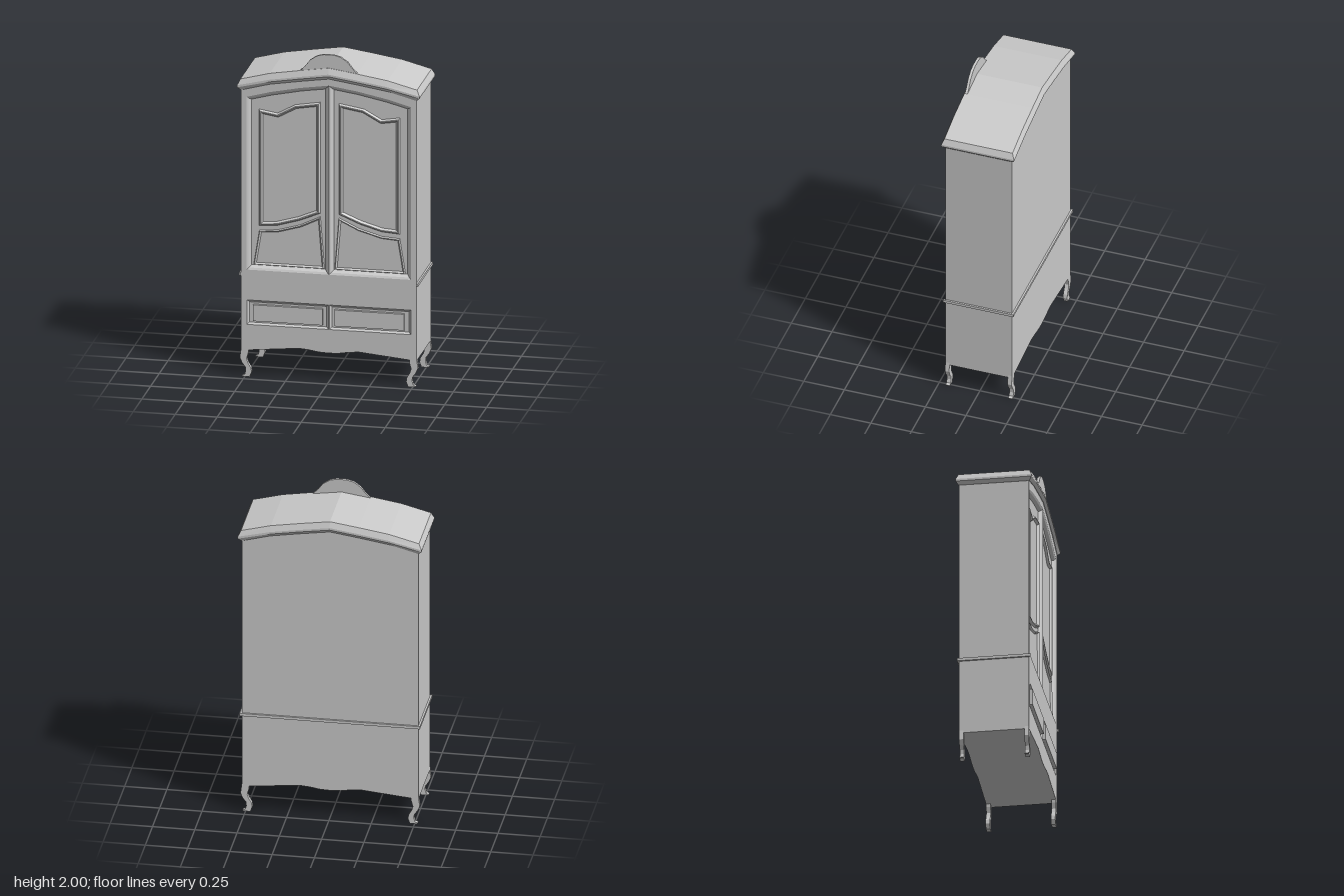
import * as THREE from 'three';

const FRONT = 0.206, FLOOR = 0.182, BACK = -0.206;

// Rise of the arched top from the sides to the middle
const STATIONS = [0, 0.17, 0.35, 0.545], RISE = [0.1, 0.075, 0.046, 0];
function arch(x) {
  const a = Math.min(Math.abs(x), 0.5449);
  const i = STATIONS.findIndex((s) => s > a) - 1;
  return THREE.MathUtils.mapLinear(a, STATIONS[i], STATIONS[i + 1], RISE[i], RISE[i + 1]);
}

const material = () => new THREE.MeshStandardMaterial({ color: 0xcccccc, flatShading: true, side: THREE.DoubleSide });
const vecs = (pts) => pts.map(([x, y]) => new THREE.Vector2(x, y));
const flip = (pts) => pts.map(([x, y]) => [-x, y]).reverse();
const rect = (x0, y0, x1, y1) => [[x0, y0], [x1, y0], [x1, y1], [x0, y1]];
// Completes a half outline given from the -x side to the middle
const mirrored = (half) => [...half, ...flip(half).filter(([x]) => x !== 0)];

export function createModel() {
  const group = new THREE.Group();

  const add = (name, geometry) => {
    const mesh = new THREE.Mesh(geometry, material());
    mesh.name = name;
    group.add(mesh);
    return mesh;
  };

  const slab = (name, pts, z0, z1, holes = []) => {
    const shape = new THREE.Shape(vecs(pts));
    shape.holes = holes.map((h) => new THREE.Path(vecs(h)));
    const g = new THREE.ExtrudeGeometry(shape, { depth: z1 - z0, bevelEnabled: false });
    return add(name, g.translate(0, 0, z0));
  };

  const box = (name, x0, x1, y0, y1, z0, z1) =>
    add(name, new THREE.BoxGeometry(x1 - x0, y1 - y0, z1 - z0)
      .translate((x0 + x1) / 2, (y0 + y1) / 2, (z0 + z1) / 2));

  // Mitred strip along a counter-clockwise outline; profile holds [inset, z]
  const moulding = (name, pts, profile) => {
    const p = vecs(pts), n = p.length;
    const normals = p.map((a, i) => {
      const d = p[(i + 1) % n].clone().sub(a).normalize();
      return new THREE.Vector2(-d.y, d.x);
    });
    const at = (i, k) => {
      const a = normals[(i + n - 1) % n], b = normals[i % n];
      const m = a.clone().add(b).multiplyScalar(profile[k][0] / (1 + a.dot(b)));
      return [p[i % n].x + m.x, p[i % n].y + m.y, profile[k][1]];
    };
    const pos = [];
    for (let i = 0; i < n; i++) {
      for (let k = 0; k < profile.length - 1; k++) {
        const a = at(i, k), b = at(i + 1, k), c = at(i + 1, k + 1), d = at(i, k + 1);
        pos.push(...a, ...b, ...c, ...a, ...c, ...d);
      }
    }
    const g = new THREE.BufferGeometry();
    g.setAttribute('position', new THREE.Float32BufferAttribute(pos, 3));
    g.computeVertexNormals();
    return add(name, g);
  };

  // Carcass with scalloped underside and arched top
  const outline = mirrored([
    [-0.522, 0.16], [-0.46, 0.166], [-0.18, 0.193], [-0.12, 0.188], [-0.06, 0.178], [0, 0.175],
  ]).concat([0.522, 0.35, 0.17, 0, -0.17, -0.35, -0.522].map((x) => [x, 1.77 + arch(x)]));
  const door = [[-0.49, 0.655], [0, 0.655], [0, 1.812], [-0.17, 1.787], [-0.35, 1.75], [-0.49, 1.712]];
  const bothDoors = [[-0.49, 0.655], [0.49, 0.655], ...flip(door.slice(2)).slice(0, 3), ...door.slice(2)];
  const drawer = rect(-0.488, 0.32, -0.003, 0.47);
  slab('carcass', outline, BACK, FLOOR);
  slab('frontFrame', outline, FLOOR, FRONT, [bothDoors, drawer, flip(drawer)]);

  // Door panels
  const upperPanel = [
    [-0.42, 0.922], [-0.31, 0.93], [-0.18, 0.968], [-0.055, 1.02],
    [-0.055, 1.7], [-0.205, 1.675], [-0.31, 1.617], [-0.42, 1.635],
  ];
  const lowerPanel = [
    [-0.452, 0.682], [-0.03, 0.682], [-0.055, 1.0], [-0.175, 0.942], [-0.31, 0.903], [-0.418, 0.895],
  ];
  const bead = [[0, FLOOR], [0.008, FLOOR + 0.014], [0.014, FLOOR + 0.014], [0.024, FLOOR]];
  const narrowBead = [[0, FLOOR], [0.005, FLOOR + 0.012], [0.014, FLOOR]];

  for (const [side, turn] of [['right', (p) => p], ['left', flip]]) {
    moulding(side + 'DoorBevel', turn(door), [[0, FRONT], [0.012, FRONT - 0.006], [0.026, FLOOR]]);
    moulding(side + 'UpperPanelMoulding', turn(upperPanel), bead);
    moulding(side + 'LowerPanelMoulding', turn(lowerPanel), narrowBead);
    moulding(side + 'DrawerBevel', turn(drawer), [[0, FRONT], [0.013, FRONT - 0.012], [0.013, FLOOR]]);
    slab(side + 'DrawerBase', turn(rect(-0.475, 0.333, -0.016, 0.457)), FLOOR, FRONT - 0.008);
    slab(side + 'DrawerFront', turn(rect(-0.45, 0.346, -0.036, 0.445)), FLOOR, 0.217);
  }

  // Waist band along the sides and back
  box('backBand', -0.533, 0.533, 0.62, 0.637, -0.217, BACK);
  for (const s of [-1, 1]) box('sideBand', s * 0.5275 - 0.0055, s * 0.5275 + 0.0055, 0.62, 0.637, BACK, 0.216);

  // Cornice: a box whose rows follow the moulded profile and the arch
  const rows = [[0.523, 0.209, 1.753], [0.543, 0.224, 1.772], [0.543, 0.224, 1.785], [0.526, 0.21, 1.82]];
  const cornice = new THREE.BoxGeometry(6, 3, 2, 6, 3, 1);
  const pos = cornice.attributes.position;
  for (let i = 0; i < pos.count; i++) {
    const [hx, hz, y] = rows[Math.round(pos.getY(i) + 1.5)];
    const step = Math.round(pos.getX(i));
    const x = Math.sign(step) * [0, 0.17, 0.35, hx][Math.abs(step)];
    const rise = Math.abs(step) === 3 ? 0 : arch(x);
    pos.setXYZ(i, x, y + rise, pos.getZ(i) * hz);
  }
  cornice.computeVertexNormals();
  add('cornice', cornice);

  // Crest plate on top
  slab('crest', mirrored([
    [-0.175, 1.87], [-0.175, 1.89], [-0.14, 1.925], [-0.112, 1.962], [-0.07, 1.99], [-0.03, 2], [0, 2],
  ]), 0.191, 0.207);

  // Curved legs
  const leg = [
    [-0.522, 0.175], [-0.53, 0.115], [-0.517, 0.085], [-0.498, 0.06], [-0.495, 0.035], [-0.502, 0.012],
    [-0.518, 0.005], [-0.515, 0], [-0.472, 0], [-0.46, 0.03], [-0.464, 0.055], [-0.482, 0.085],
    [-0.49, 0.11], [-0.48, 0.145], [-0.478, 0.175],
  ];
  for (const pts of [leg, flip(leg)]) {
    slab('frontLeg', pts, 0.18, 0.2055);
    slab('backLeg', pts, -0.2055, -0.18);
  }

  return group;
}
